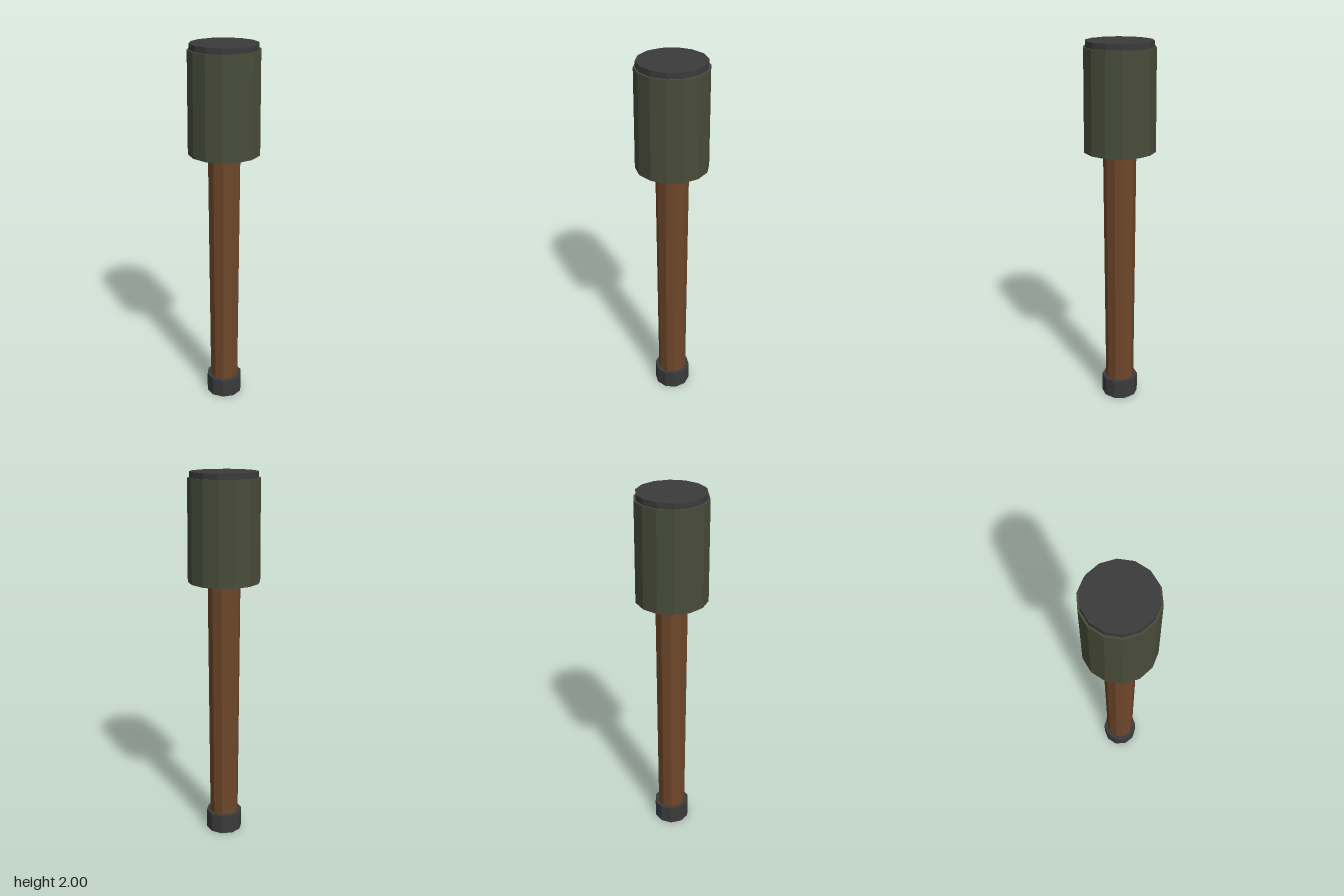
import * as THREE from 'three';

const makeMaterial = (name, color) => {
  const m = new THREE.MeshStandardMaterial({ color, flatShading: true });
  m.name = name;
  return m;
};

export function createModel() {
  const group = new THREE.Group();
  group.name = 'stickWithHead';

  const olive = makeMaterial('olive paint', 0x484c3a);
  const wood = makeMaterial('brown wood', 0x6e472a);
  const steel = makeMaterial('dark steel', 0x3b3b3b);

  // Faceted upright cylinder between two heights
  const addCylinder = (name, material, sides, y0, y1, rBottom, rTop) => {
    const geometry = new THREE.CylinderGeometry(rTop, rBottom, y1 - y0, sides);
    const mesh = new THREE.Mesh(geometry, material);
    mesh.name = name;
    mesh.position.y = (y0 + y1) / 2;
    group.add(mesh);
  };

  // Screw cap at the foot, tapered handle, then the head and its lid
  addCylinder('endCap', steel, 10, 0, 0.107, 0.1, 0.1);
  addCylinder('handle', wood, 10, 0.1, 1.45, 0.079, 0.087);
  addCylinder('head', olive, 14, 1.44, 1.97, 0.19, 0.186);
  addCylinder('headLid', steel, 14, 1.965, 2, 0.176, 0.176);

  return group;
}
